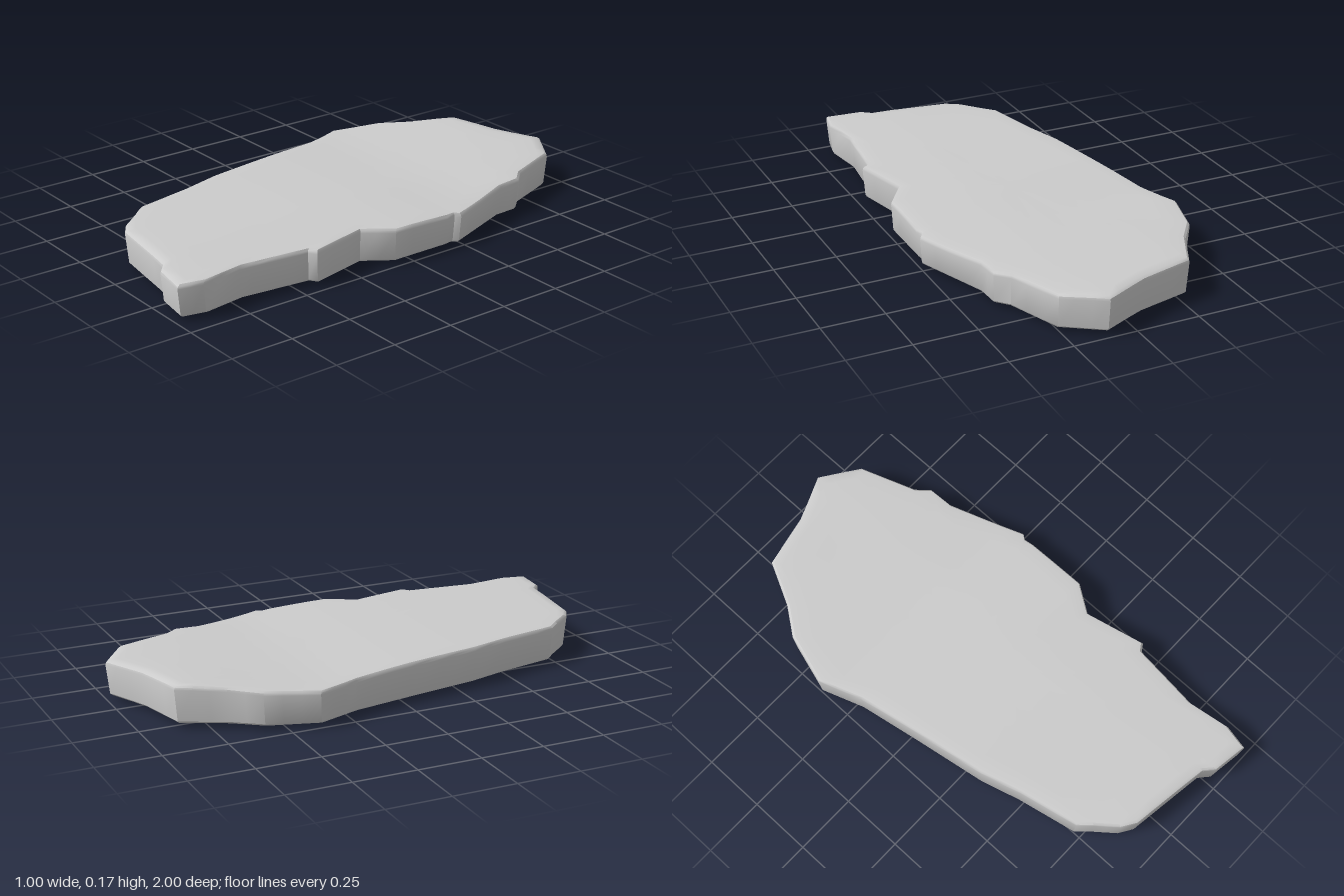
import * as THREE from 'three';
import { toCreasedNormals } from 'three/addons/utils/BufferGeometryUtils.js';

// Slab outline (x, z), running from the back tip along the left, front and right sides
const OUTLINE = [
  [0.11, -1], [0.26, -0.9], [0.34, -0.68], [0.385, -0.63], [0.39, -0.53], [0.5, -0.23],
  [0.485, -0.21], [0.49, -0.17], [0.49, 0.08], [0.415, 0.19], [0.47, 0.43], [0.44, 0.45],
  [0.42, 0.64], [0.41, 0.73], [0.435, 0.9], [0.415, 0.995], [0.275, 0.975], [0.235, 0.94],
  [-0.09, 0.895], [-0.145, 0.86], [-0.21, 0.78], [-0.255, 0.73], [-0.305, 0.49], [-0.35, 0.33],
  [-0.4, 0.03], [-0.445, -0.22], [-0.505, -0.39], [-0.445, -0.59], [-0.365, -0.7],
  [-0.28, -0.87], [-0.07, -0.92], [0, -0.95],
];
const CENTER = [0.03, 0];

// Split long edges so the worn top can undulate along the rim
function subdivide(points, maxLength) {
  const out = [];
  points.forEach(([x, z], i) => {
    const [x2, z2] = points[(i + 1) % points.length];
    const n = Math.ceil(Math.hypot(x2 - x, z2 - z) / maxLength);
    for (let k = 0; k < n; k++) out.push([x + (x2 - x) * k / n, z + (z2 - z) * k / n]);
  });
  return out;
}

// Gently worn top: a shallow dip across the slab, a falling left side and a raised back
function topHeight(x, z) {
  const dip = 0.013 * Math.exp(-(((z + 0.33) / 0.24) ** 2));
  const side = 0.03 * Math.max(0, x - 0.15);
  const back = 0.008 * Math.exp(-(((z + 0.85) / 0.16) ** 2) - ((x + 0.25) / 0.3) ** 2);
  return 0.159 - dip - side + back - 0.005 * Math.max(0, z - 0.3);
}

function slabGeometry() {
  const rim = subdivide(OUTLINE, 0.09);
  const n = rim.length;

  // Rings from the underside centre, up the wall, to the top centre
  const rings = [];
  for (const s of [0, 0.33, 0.66, 0.978]) rings.push({ s, y: () => 0.018 * s });
  rings.push({ s: 0.987, y: () => 0.025 });
  rings.push({ s: 1, y: (x, z) => topHeight(x, z) - 0.018 });
  rings.push({ s: 0.997, y: (x, z) => topHeight(x, z) - 0.009 });
  rings.push({ s: 0.986, y: (x, z) => topHeight(x, z) - 0.002 });
  for (const s of [0.95, 0.85, 0.72, 0.58, 0.44, 0.3, 0.15, 0]) rings.push({ s, y: topHeight });

  const positions = [];
  for (const { s, y } of rings) {
    for (const [px, pz] of rim) {
      const x = CENTER[0] + (px - CENTER[0]) * s;
      const z = CENTER[1] + (pz - CENTER[1]) * s;
      positions.push(x, y(x, z), z);
    }
  }
  const index = [];
  for (let r = 0; r < rings.length - 1; r++) {
    for (let i = 0; i < n; i++) {
      const j = (i + 1) % n;
      const a = r * n + i, b = r * n + j, c = a + n, d = b + n;
      if (rings[r].s > 0) index.push(a, c, b);
      if (rings[r + 1].s > 0) index.push(b, c, d);
    }
  }
  const geometry = new THREE.BufferGeometry();
  geometry.setAttribute('position', new THREE.Float32BufferAttribute(positions, 3));
  geometry.setIndex(index);
  return toCreasedNormals(geometry, 0.6);
}

export function createModel() {
  const group = new THREE.Group();
  group.name = 'stoneSlab';
  const slab = new THREE.Mesh(slabGeometry(), new THREE.MeshStandardMaterial({ color: 0xcccccc }));
  slab.name = 'slab';
  group.add(slab);
  return group;
}
